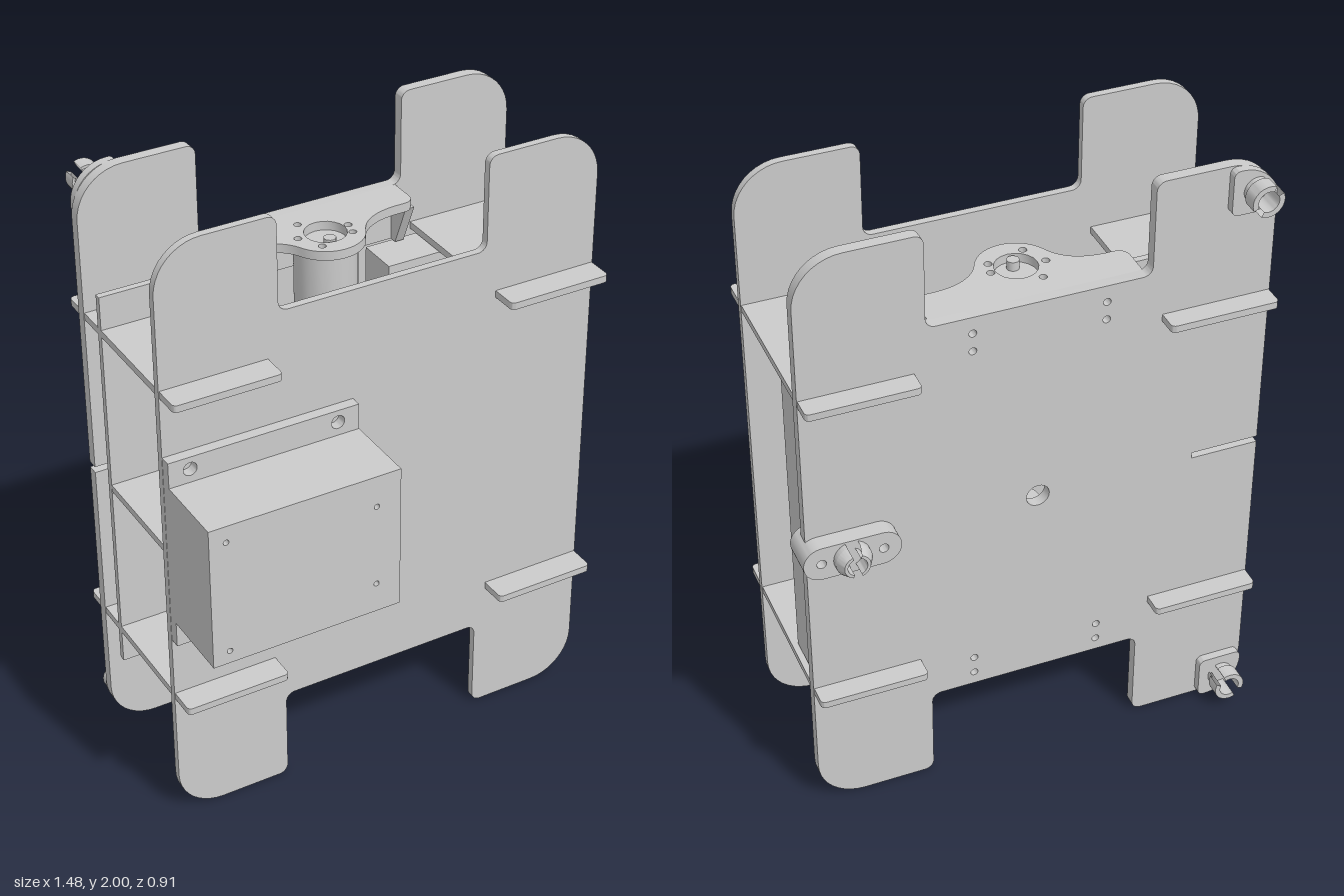
import * as THREE from 'three';
import { toCreasedNormals } from 'three/addons/utils/BufferGeometryUtils.js';

const mat = new THREE.MeshStandardMaterial({ color: 0xcccccc });
const thin = new THREE.MeshStandardMaterial({ color: 0xcccccc, side: THREE.DoubleSide });

function add(parent, name, geo, x = 0, y = 0, z = 0, material = mat) {
  const m = new THREE.Mesh(geo, material);
  m.name = name;
  m.position.set(x, y, z);
  parent.add(m);
  return m;
}

// Box given by its min and max on each axis
const box = (parent, name, x0, x1, y0, y1, z0, z1) =>
  add(parent, name, new THREE.BoxGeometry(x1 - x0, y1 - y0, z1 - z0), (x0 + x1) / 2, (y0 + y1) / 2, (z0 + z1) / 2);

// Polygon of [x, y, cornerRadius] with round corners
function roundedShape(pts) {
  const s = new THREE.Shape();
  const k = 0.5523;
  pts.forEach(([x, y, r = 0], i) => {
    const p = new THREE.Vector2(x, y);
    const toward = (q) => new THREE.Vector2(q[0], q[1]).sub(p).normalize().multiplyScalar(r).add(p);
    const a = toward(pts[(i + pts.length - 1) % pts.length]);
    const b = toward(pts[(i + 1) % pts.length]);
    if (i === 0) s.moveTo(a.x, a.y); else s.lineTo(a.x, a.y);
    if (r > 0) {
      const c = a.clone().lerp(p, k), d = b.clone().lerp(p, k);
      s.bezierCurveTo(c.x, c.y, d.x, d.y, b.x, b.y);
    }
  });
  s.closePath();
  return s;
}

const rect = (x0, x1, y0, y1, r) => roundedShape([[x0, y0, r], [x1, y0, r], [x1, y1, r], [x0, y1, r]]);

function holes(shape, list) {
  for (const [x, y, r] of list) shape.holes.push(new THREE.Path().absarc(x, y, r, 0, Math.PI * 2, true));
  return shape;
}

const extrude = (shape, depth) =>
  toCreasedNormals(new THREE.ExtrudeGeometry(shape, { depth, bevelEnabled: false, curveSegments: 10 }), 0.5);

// Shape drawn in x and z, lying flat with its top at y = 0
const flat = (shape, depth) => extrude(shape, depth).rotateX(Math.PI / 2);

// Tall plate with a notch at the top and the bottom
function plateShape(slot) {
  const pts = [
    [-0.74, 0, 0.15], [-0.36, 0, 0.03], [-0.36, 0.315, 0.03], [0.33, 0.315, 0.03], [0.33, 0, 0.03], [0.71, 0, 0.15],
    [0.71, 2, 0.15], [0.33, 2, 0.03], [0.33, 1.695, 0.03], [-0.36, 1.695, 0.03], [-0.36, 2, 0.03], [-0.74, 2, 0.15],
  ];
  if (slot) pts.push([-0.74, 1.01], [-0.52, 1.01], [-0.52, 0.99], [-0.74, 0.99]);
  return roundedShape(pts);
}

// Hollow tube pointing to -z, split by a slot
function slottedTube(parent, name, x, y, z, profile, turn) {
  const g = new THREE.Group();
  g.name = name;
  const pts = profile.map(([r, h]) => new THREE.Vector2(r, h));
  const gap = 0.35;
  for (const start of [0, Math.PI]) {
    const geo = new THREE.LatheGeometry(pts, 14, start + gap, Math.PI - 2 * gap);
    add(g, 'tubeHalf', toCreasedNormals(geo.rotateX(-Math.PI / 2), 0.5), 0, 0, 0, thin);
  }
  g.position.set(x, y, z);
  g.rotation.z = turn;
  parent.add(g);
}

// Gear motor on its bracket, shaft end upward
function motorUnit() {
  const g = new THREE.Group();
  const cx = -0.02, cz = -0.16;
  const s = new THREE.Shape();
  s.moveTo(-0.345, -0.315);
  s.lineTo(0.31, -0.315);
  s.lineTo(0.31, -0.235);
  s.quadraticCurveTo(0.31, -0.195, 0.27, -0.195);
  s.lineTo(0.24, -0.195);
  s.quadraticCurveTo(0.13, -0.19, cx + 0.111, cz + 0.045);
  s.absarc(cx, cz, 0.12, 0.388, Math.PI - 0.388, false);
  s.quadraticCurveTo(-0.17, -0.19, -0.28, -0.195);
  s.lineTo(-0.305, -0.195);
  s.quadraticCurveTo(-0.345, -0.195, -0.345, -0.235);
  s.closePath();
  holes(s, [[cx, cz, 0.065], [-0.07, -0.24, 0.012], [-0.11, -0.165, 0.012],
    [0.06, -0.165, 0.012], [0.05, -0.12, 0.012], [-0.07, -0.09, 0.012]]);
  add(g, 'bracketPlate', flat(s, 0.03), 0, 1.695, 0);
  box(g, 'bracketBack', -0.345, 0.31, 1.53, 1.67, -0.315, -0.285);
  // side gussets
  const tri = roundedShape([[0.285, 1.53], [0.285, 1.67], [0.2, 1.67], [0.26, 1.53]].reverse());
  for (const x of [-0.345, 0.28]) add(g, 'gusset', extrude(tri, 0.03).rotateY(Math.PI / 2), x, 0, 0, thin);
  // motor body with a narrower end cap
  const body = [[0, 1.17], [0.085, 1.17], [0.09, 1.205], [0.097, 1.205], [0.097, 1.666], [0, 1.666]];
  add(g, 'motorBody', toCreasedNormals(new THREE.LatheGeometry(body.map((p) => new THREE.Vector2(...p)), 32), 0.5), cx, 0, cz);
  add(g, 'shaft', new THREE.CylinderGeometry(0.019, 0.019, 0.03, 16), cx - 0.005, 1.68, -0.125);
  return g;
}

export function createModel() {
  const root = new THREE.Group();
  root.name = 'chassis';

  // front and back plates
  add(root, 'frontPlate', extrude(holes(plateShape(false), [[-0.015, 1, 0.022]]), 0.025), 0, 0, 0.15);
  const screws = [];
  for (const x of [-0.22, 0.19]) for (const y of [0.36, 0.42, 1.58, 1.64]) screws.push([x, y, 0.012]);
  add(root, 'backPlate', extrude(holes(plateShape(true), [[-0.015, 1, 0.037], ...screws]), 0.037), 0, 0, -0.351);

  // shelves that run through both plates
  for (const y of [0.475, 1.551]) {
    for (const [x0, x1] of [[-0.738, -0.396], [0.366, 0.708]]) {
      add(root, 'shelf', flat(rect(x0, x1, -0.42, 0.265, 0.015), 0.023), 0, y, 0);
    }
  }
  add(root, 'middleShelf', flat(rect(-0.738, -0.396, -0.21, 0.265, 0.015), 0.023), 0, 1.0115, 0);

  // inner upright board and battery
  box(root, 'uprightBoard', -0.738, -0.2, 0.34, 1.66, -0.222, -0.2);
  box(root, 'battery', 0.19, 0.69, 0.48, 1.525, -0.284, -0.145);

  // motors at top and bottom
  const top = motorUnit();
  top.name = 'upperMotor';
  const bottom = motorUnit();
  bottom.name = 'lowerMotor';
  bottom.scale.y = -1;
  bottom.position.y = 2;
  root.add(top, bottom);

  // control box with mounting flange
  const flange = holes(rect(-0.739, -0.12, 0.68, 1.33, 0),
    [[-0.67, 1.29, 0.022], [-0.19, 1.29, 0.022], [-0.67, 0.715, 0.022], [-0.19, 0.715, 0.022]]);
  add(root, 'boxFlange', extrude(flange, 0.035), 0, 0, 0.175);
  box(root, 'controlBox', -0.739, -0.12, 0.765, 1.245, 0.21, 0.42);
  const lid = holes(rect(-0.739, -0.12, 0.765, 1.245, 0),
    [[-0.685, 1.19, 0.009], [-0.2, 1.14, 0.009], [-0.2, 0.865, 0.009], [-0.685, 0.808, 0.009]]);
  add(root, 'boxLid', extrude(lid, 0.031), 0, 0, 0.42);

  // side sensor on an oblong base
  const pill = holes(rect(0.435, 0.735, 0.943, 1.058, 0.0574), [[0.49, 1, 0.015], [0.68, 1, 0.015]]);
  add(root, 'sideSensorBase', extrude(pill, 0.12), 0, 0, -0.405);
  slottedTube(root, 'sideSensorTube', 0.588, 1, -0.4,
    [[0.03, 0], [0.056, 0], [0.056, 0.025], [0.04, 0.055], [0.03, 0.055], [0.03, 0]], 0);

  // corner sensors on the back plate
  for (const side of [-1, 1]) {
    const y = 1 + side * 0.923;
    const pts = [[-0.73, y - 0.073, 0.02], [-0.585, y - 0.073, 0.02], [-0.585, y + 0.073, 0.02], [-0.73, y + 0.073, 0.02]];
    pts[side > 0 ? 3 : 0][2] = 0.12;
    add(root, 'cornerSensorBase', extrude(roundedShape(pts), 0.028), 0, 0, -0.378);
    slottedTube(root, 'cornerSensorTube', -0.66, y, -0.376,
      [[0.033, 0], [0.042, 0], [0.042, 0.025], [0.05, 0.025], [0.05, 0.073], [0.033, 0.073], [0.033, 0]], side * Math.PI / 4);
  }
  return root;
}
